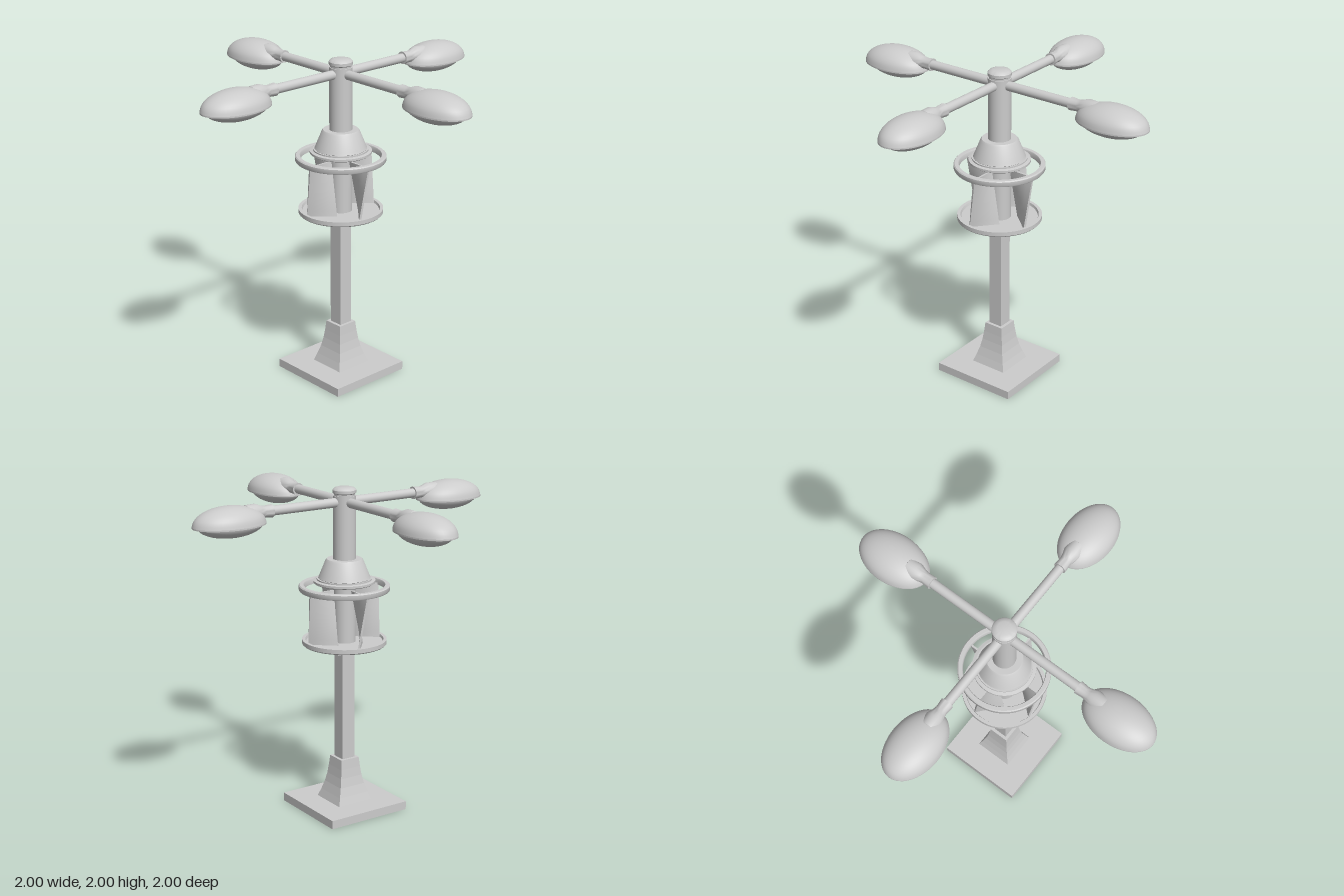
import * as THREE from 'three';
import { toCreasedNormals } from 'three/addons/utils/BufferGeometryUtils.js';

const grey = new THREE.MeshStandardMaterial({ color: 0xcccccc });
const flatGrey = new THREE.MeshStandardMaterial({ color: 0xcccccc, flatShading: true });

function add(parent, name, geometry, material = grey) {
  const mesh = new THREE.Mesh(geometry, material);
  mesh.name = name;
  parent.add(mesh);
  return mesh;
}

// Turned part from [radius, height] pairs, listed up the outside
function turned(points, segments = 48) {
  const profile = points.map(([r, y]) => new THREE.Vector2(r, y));
  return toCreasedNormals(new THREE.LatheGeometry(profile, segments), 0.6);
}

// Square block between two heights
function slab(half, y0, y1) {
  return new THREE.BoxGeometry(half * 2, y1 - y0, half * 2).translate(0, (y0 + y1) / 2, 0);
}

// Upright blade along +x: radial at the top, turned across at the bottom
function twistedVane() {
  const geometry = new THREE.BoxGeometry(1, 1, 0.012, 4, 10, 1);
  const top = { inner: [0.08, 0], outer: [0.245, 0] };
  const bottom = { inner: [0.09, -0.066], outer: [0.225, 0.052] };
  const { lerp } = THREE.MathUtils;
  const p = geometry.attributes.position;
  for (let i = 0; i < p.count; i++) {
    const u = p.getX(i) + 0.5, v = p.getY(i) + 0.5, w = p.getZ(i);
    const a = [0, 1].map(k => lerp(bottom.inner[k], top.inner[k], v));
    const b = [0, 1].map(k => lerp(bottom.outer[k], top.outer[k], v));
    const dx = b[0] - a[0], dz = b[1] - a[1], length = Math.hypot(dx, dz);
    p.setXYZ(i, a[0] + dx * u - (dz / length) * w, lerp(1.065, 1.39, v), a[1] + dz * u + (dx / length) * w);
  }
  return toCreasedNormals(geometry, 0.6);
}

// Arm with its lamp, pointing along +x
function lampArm() {
  const arm = new THREE.Group();
  arm.name = 'lampArm';
  add(arm, 'armTube', new THREE.CylinderGeometry(0.028, 0.028, 0.52, 24).rotateZ(Math.PI / 2).translate(0.26, 1.912, 0));

  // Collar flaring into the lamp head
  const neck = turned([[0, 0], [0.038, 0], [0.037, 0.015], [0.034, 0.05], [0.039, 0.075], [0.052, 0.11], [0.05, 0.17], [0, 0.2]], 24);
  add(arm, 'lampNeck', neck.rotateZ(-Math.PI / 2).translate(0.5, 1.912, 0));

  // Oval hood with a thin lip and a recessed underside
  const dome = [[0, 1.872], [0.87, 1.872], [0.92, 1.857], [1, 1.857], [1, 1.865]];
  for (let i = 1; i <= 12; i++) {
    const t = (i / 12) * Math.PI / 2;
    dome.push([Math.cos(t) * 0.99, 1.865 + 0.105 * Math.sin(t)]);
  }
  add(arm, 'lampHood', turned(dome).scale(0.225, 1, 0.147).translate(0.775, 0, 0));

  // Shallow bowl under the hood
  const bowl = new THREE.SphereGeometry(1, 40, 12, 0, Math.PI * 2, Math.PI / 2, Math.PI / 2);
  add(arm, 'lampLens', bowl.scale(0.205, 0.077, 0.125).translate(0.768, 1.867, 0));
  return arm;
}

export function createModel() {
  const model = new THREE.Group();
  model.name = 'streetLamp';

  // Foot and square post
  add(model, 'basePlate', slab(0.273, 0, 0.052));
  const flare = [[0.12, 0.05], [0.103, 0.1], [0.087, 0.155], [0.076, 0.21], [0.069, 0.265], [0.063, 0.325], [0, 0.325]];
  const flareProfile = flare.map(([r, y]) => new THREE.Vector2(r * Math.SQRT2, y));
  add(model, 'flaredFoot', new THREE.LatheGeometry(flareProfile, 4, Math.PI / 4), flatGrey);
  add(model, 'post', slab(0.044, 0.3, 1.04));

  // Tray and open ring that hold the vanes
  add(model, 'trayBracket', slab(0.14, 1.028, 1.05));
  add(model, 'tray', turned([[0, 1.048], [0.248, 1.048], [0.255, 1.055], [0.255, 1.08], [0.235, 1.08], [0.23, 1.065], [0, 1.065]], 64));
  add(model, 'upperRing', turned([[0.24, 1.38], [0.268, 1.38], [0.272, 1.386], [0.272, 1.41], [0.266, 1.416], [0.244, 1.416], [0.24, 1.41], [0.24, 1.38]], 64));

  for (let i = 0; i < 4; i++) {
    add(model, 'vane', twistedVane()).rotation.y = i * Math.PI / 2;
    const arm = lampArm();
    arm.rotation.y = i * Math.PI / 2;
    model.add(arm);
  }

  // Centre column with its stepped collar
  add(model, 'column', new THREE.CylinderGeometry(0.068, 0.068, 0.89, 40).translate(0, 1.505, 0));
  add(model, 'collarDisc', turned([[0, 1.425], [0.178, 1.425], [0.185, 1.43], [0.185, 1.443], [0.165, 1.447], [0.165, 1.455], [0, 1.455]]));
  add(model, 'collarCone', turned([[0, 1.45], [0.15, 1.45], [0.156, 1.457], [0.15, 1.47], [0.113, 1.562], [0.105, 1.572], [0, 1.572]]));

  // Cap over the arm joint
  add(model, 'topCap', turned([[0, 1.94], [0.062, 1.94], [0.062, 1.96], [0.07, 1.966], [0.07, 1.983], [0.06, 1.994], [0.04, 2], [0, 2]], 40));
  return model;
}
